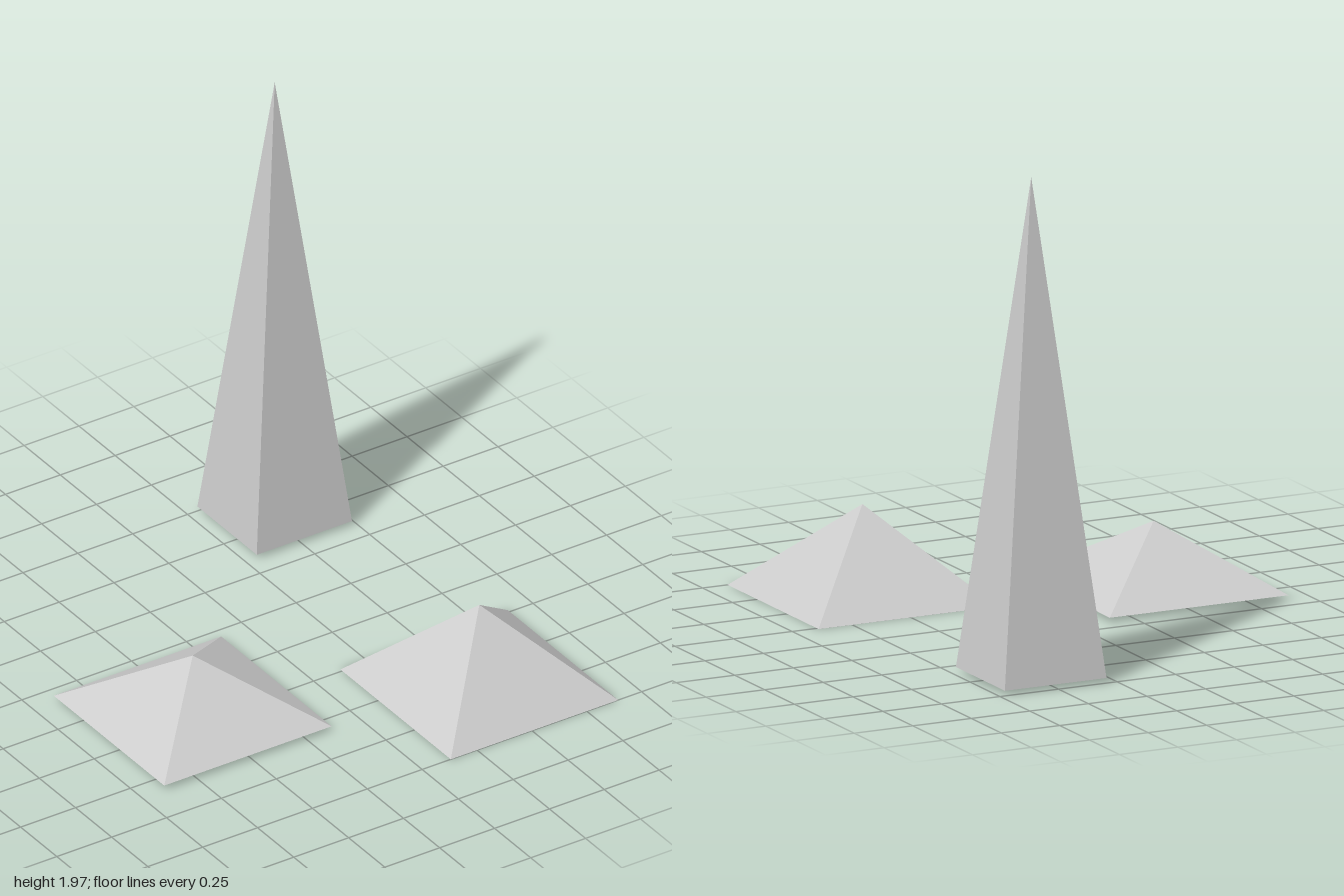
import * as THREE from 'three';

const material = new THREE.MeshStandardMaterial({ color: 0xcccccc, flatShading: true });

// Closed four-sided pyramid with its base edges along x and z
function pyramid(name, [width, height, depth], [x, baseY, z]) {
  const geometry = new THREE.ConeGeometry(Math.SQRT1_2, 1, 4);
  geometry.rotateY(Math.PI / 4);
  geometry.translate(0, 0.5, 0);
  geometry.scale(width, height, depth);
  const mesh = new THREE.Mesh(geometry, material);
  mesh.name = name;
  mesh.position.set(x, baseY, z);
  return mesh;
}

export function createModel() {
  const group = new THREE.Group();
  group.name = 'pyramids';
  group.add(
    // Tall spire at the back
    pyramid('tallSpire', [0.434, 1.945, 0.41], [0.512, 0.02, -0.795]),
    // Two low, wide pyramids
    pyramid('lowPyramid', [0.763, 0.25, 0.763], [-0.518, 0.02, 0.2]),
    pyramid('frontPyramid', [0.763, 0.36, 0.763], [0.512, 0, 0.6185]),
  );
  return group;
}
